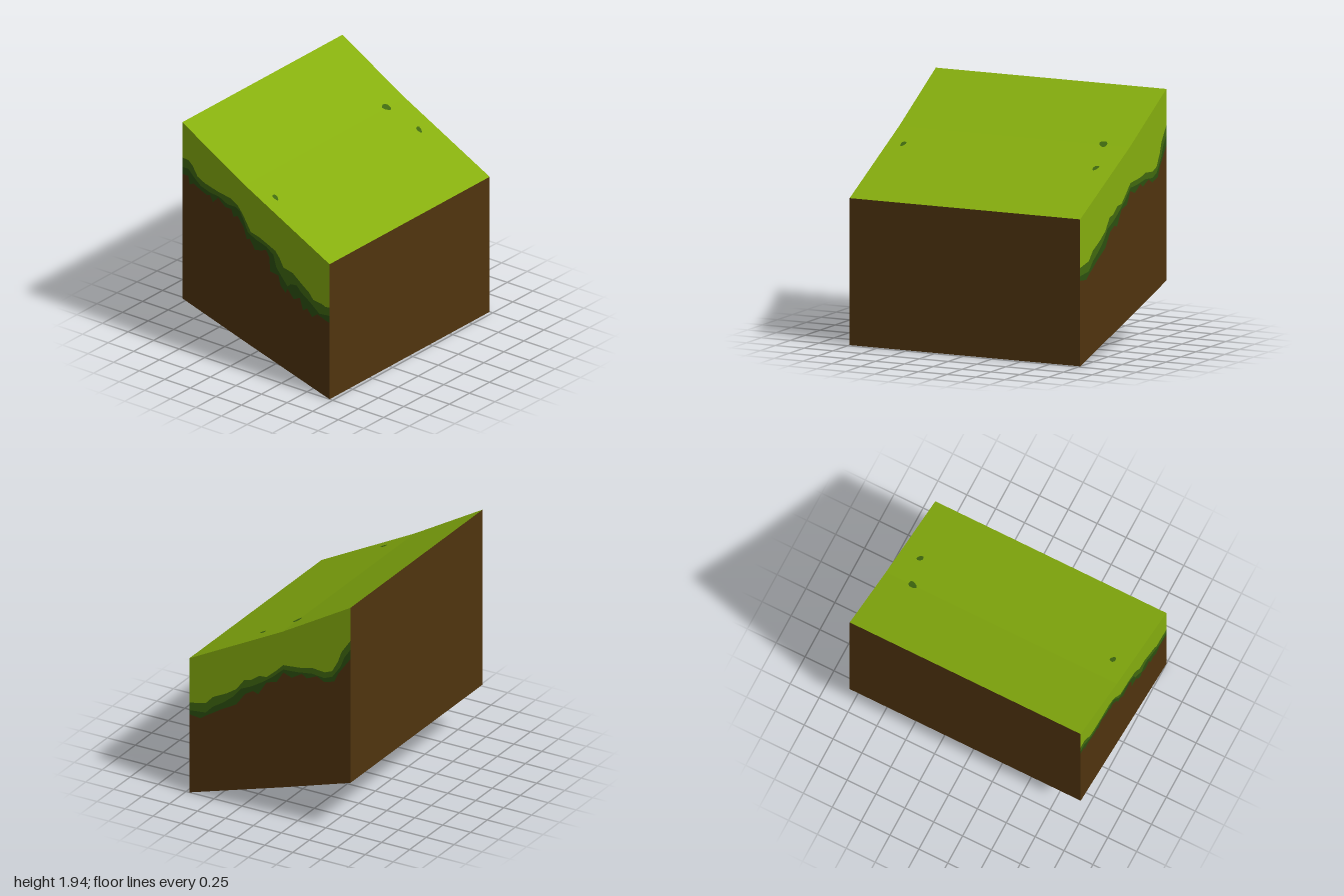
import * as THREE from 'three';

const mat = (name, color) => {
  const m = new THREE.MeshStandardMaterial({ color });
  m.name = name;
  return m;
};

// Outline of the slope, left to right
const TOP = [[-0.72, 1.94], [-0.11, 1.583], [0.72, 1.15]];
const BOTTOM = [[-0.72, 0.44], [-0.11, 0.25], [0.72, 0]];

// Lower edges of the three grass layers on the front face
const FRONT_GRASS = [[-0.72, 1.64], [-0.66, 1.635], [-0.62, 1.6], [-0.57, 1.52], [-0.5, 1.485], [-0.37, 1.45],
  [-0.25, 1.43], [-0.18, 1.39], [-0.13, 1.33], [-0.05, 1.2], [0.03, 1.18], [0.1, 1.15], [0.19, 1.11], [0.23, 1.06],
  [0.27, 0.99], [0.36, 0.97], [0.45, 0.9], [0.52, 0.85], [0.56, 0.8], [0.64, 0.79], [0.68, 0.775], [0.72, 0.78]];
const FRONT_FRINGE = [[-0.72, 1.56], [-0.66, 1.56], [-0.6, 1.5], [-0.54, 1.45], [-0.45, 1.42], [-0.36, 1.41],
  [-0.28, 1.37], [-0.2, 1.37], [-0.16, 1.35], [-0.12, 1.28], [-0.08, 1.19], [0, 1.15], [0.1, 1.12], [0.17, 1.07],
  [0.2, 0.97], [0.25, 0.91], [0.31, 0.84], [0.34, 0.87], [0.4, 0.875], [0.44, 0.83], [0.53, 0.77], [0.58, 0.73],
  [0.62, 0.7], [0.72, 0.71]];
const FRONT_ROOTS = [[-0.72, 1.5], [-0.66, 1.5], [-0.65, 1.43], [-0.61, 1.45], [-0.53, 1.41], [-0.48, 1.39],
  [-0.45, 1.4], [-0.42, 1.345], [-0.37, 1.4], [-0.3, 1.34], [-0.24, 1.34], [-0.22, 1.28], [-0.18, 1.3],
  [-0.12, 1.22], [-0.09, 1.13], [-0.06, 1.14], [-0.01, 1.06], [0.04, 1.07], [0.1, 1.09], [0.13, 1.04],
  [0.14, 0.92], [0.22, 0.91], [0.24, 0.83], [0.29, 0.78], [0.31, 0.82], [0.37, 0.75], [0.43, 0.78], [0.46, 0.68],
  [0.5, 0.71], [0.55, 0.65], [0.6, 0.69], [0.68, 0.66], [0.72, 0.65]];

// The same edges on the back face
const BACK_GRASS = [[-0.72, 1.656], [-0.64, 1.54], [-0.61, 1.454], [-0.557, 1.357], [-0.49, 1.33], [-0.375, 1.34],
  [-0.285, 1.316], [-0.195, 1.307], [-0.12, 1.3], [-0.06, 1.24], [0.03, 1.16], [0.095, 1.154], [0.17, 1.1],
  [0.23, 1.084], [0.3, 0.99], [0.39, 0.93], [0.51, 0.87], [0.575, 0.8], [0.72, 0.77]];
const BACK_FRINGE = [[-0.72, 1.58], [-0.666, 1.5], [-0.63, 1.41], [-0.557, 1.308], [-0.485, 1.28], [-0.375, 1.29],
  [-0.24, 1.27], [-0.12, 1.262], [-0.03, 1.18], [0.08, 1.1], [0.17, 1.044], [0.26, 1.003], [0.33, 0.918],
  [0.42, 0.844], [0.51, 0.787], [0.575, 0.72], [0.72, 0.705]];
const BACK_ROOTS = [[-0.72, 1.5], [-0.675, 1.438], [-0.61, 1.348], [-0.575, 1.272], [-0.485, 1.246], [-0.42, 1.28],
  [-0.33, 1.238], [-0.285, 1.266], [-0.195, 1.21], [-0.12, 1.237], [-0.06, 1.14], [0.03, 1.115], [0.105, 0.995],
  [0.15, 1.01], [0.22, 0.97], [0.3, 0.86], [0.35, 0.83], [0.44, 0.78], [0.5, 0.74], [0.566, 0.7], [0.62, 0.66],
  [0.72, 0.67]];

// Height of the grass surface at x
function topY(x) {
  const [a, b] = x < TOP[1][0] ? [TOP[0], TOP[1]] : [TOP[1], TOP[2]];
  return a[1] + (b[1] - a[1]) * (x - a[0]) / (b[0] - a[0]);
}

function flatGeometry(positions) {
  const g = new THREE.BufferGeometry();
  g.setAttribute('position', new THREE.Float32BufferAttribute(positions, 3));
  g.computeVertexNormals();
  return g;
}

// Sweep an outline (clockwise seen from the front) through the full depth
function sweep(path) {
  const v = [];
  for (let i = 0; i < path.length - 1; i++) {
    const [ax, ay] = path[i], [bx, by] = path[i + 1];
    v.push(ax, ay, 1, bx, by, 1, bx, by, -1, ax, ay, 1, bx, by, -1, ax, ay, -1);
  }
  return flatGeometry(v);
}

// Flat layer between two edges on the front (side 1) or back (side -1)
function layer(upper, lower, side) {
  const outline = [...lower, ...[...upper].reverse()];
  const g = new THREE.ShapeGeometry(new THREE.Shape(outline.map(([x, y]) => new THREE.Vector2(x * side, y))));
  if (side < 0) g.rotateY(Math.PI);
  return g.translate(0, 0, side);
}

// Small irregular spot that follows the slope
function spot(cx, cz, rx, rz, turn) {
  const n = 10, v = [];
  const point = (i) => {
    const a = (i % n) / n * Math.PI * 2, r = 1 + 0.1 * Math.sin(3 * a + cx * 20);
    const px = rx * r * Math.cos(a), pz = rz * r * Math.sin(a);
    const x = cx + px * Math.cos(turn) - pz * Math.sin(turn);
    return [x, topY(x) + 0.004, cz + px * Math.sin(turn) + pz * Math.cos(turn)];
  };
  for (let i = 0; i < n; i++) v.push(cx, topY(cx) + 0.004, cz, ...point(i + 1), ...point(i));
  return flatGeometry(v);
}

export function createModel() {
  const grass = mat('bright grass', 0x86ae0e);
  const fringe = mat('mid grass', 0x40690f);
  const roots = mat('dark grass', 0x2c5010);
  const soil = mat('brown soil', 0x50340e);

  const group = new THREE.Group();
  group.name = 'grassySlope';
  const add = (name, geometry, material) => {
    const mesh = new THREE.Mesh(geometry, material);
    mesh.name = name;
    group.add(mesh);
  };

  // Sloping top, and the soil sides and underside
  add('grassTop', sweep(TOP), grass);
  add('soilSidesAndBase', sweep([TOP[2], ...[...BOTTOM].reverse(), TOP[0]]), soil);

  // Layered front and back faces
  const faces = [
    ['front', 1, [TOP, FRONT_GRASS, FRONT_FRINGE, FRONT_ROOTS, BOTTOM]],
    ['back', -1, [TOP, BACK_GRASS, BACK_FRINGE, BACK_ROOTS, BOTTOM]],
  ];
  const layers = [['Grass', grass], ['Fringe', fringe], ['Roots', roots], ['Soil', soil]];
  for (const [face, side, edges] of faces) {
    layers.forEach(([name, material], i) => add(face + name, layer(edges[i], edges[i + 1], side), material));
  }

  // Dark spots on the grass
  const spots = [[-0.11, -0.77, 0.028, 0.038, 0.5], [0.155, -0.84, 0.03, 0.02, 0.5], [0.085, 0.865, 0.028, 0.02, 0.3]];
  for (const s of spots) add('grassSpot', spot(...s), fringe);

  return group;
}
